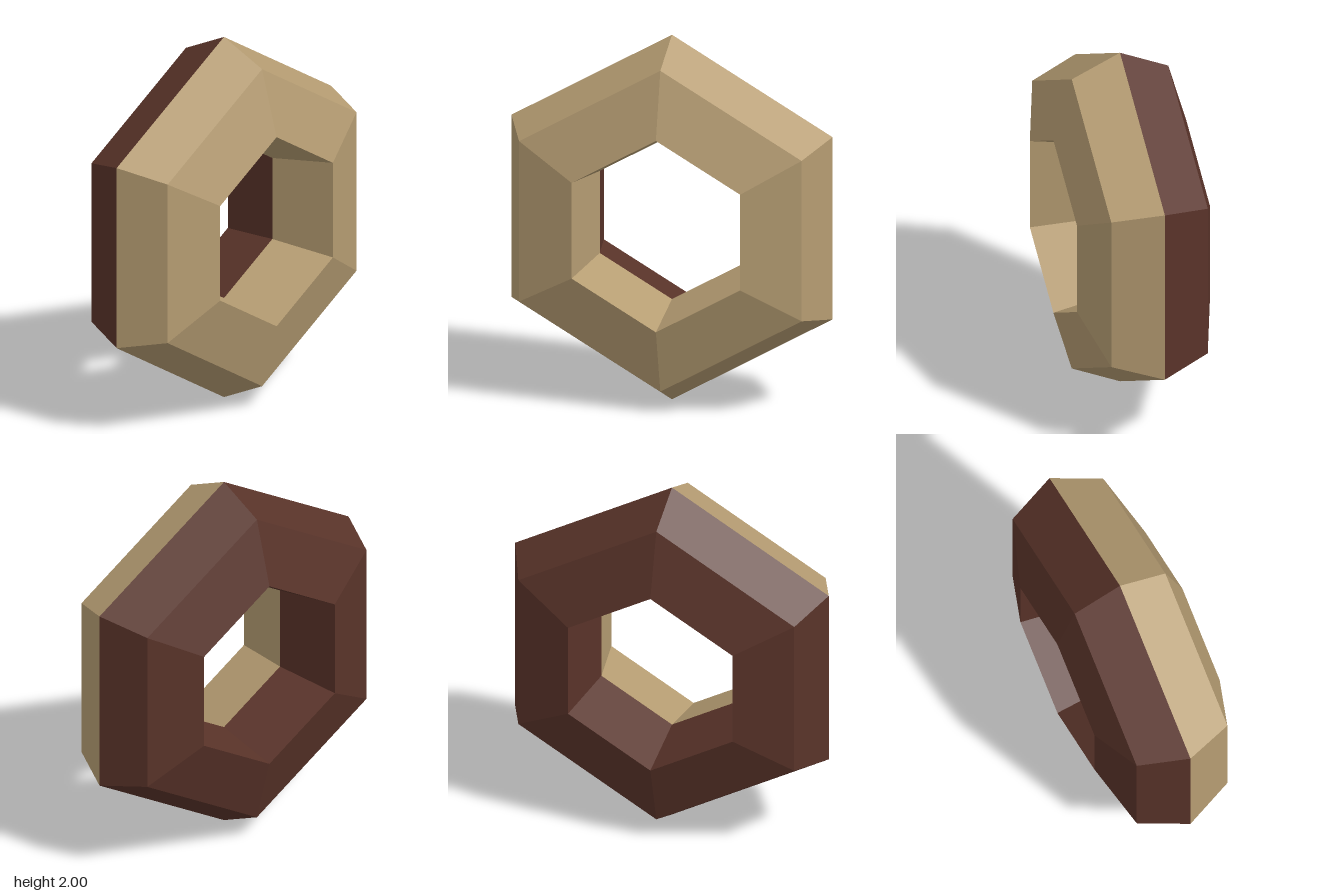
import * as THREE from 'three';

// Half of the ring's cross-section: [corner radius, depth from the middle plane]
const PROFILE = [[1, 0], [0.88, 0.263], [0.525, 0.363], [0.45, 0]];

// Sweep the half section round six sides; side is +1 for front, -1 for back
function halfRing(name, side, material) {
  const points = PROFILE.map(([r, d]) => new THREE.Vector2(r, d * side));
  if (side < 0) points.reverse();
  const geometry = new THREE.LatheGeometry(points, 6).toNonIndexed();
  geometry.rotateX(Math.PI / 2); // axis along z, corners at top and bottom
  geometry.computeVertexNormals(); // one normal per facet
  const mesh = new THREE.Mesh(geometry, material);
  mesh.name = name;
  mesh.position.y = 1;
  return mesh;
}

export function createModel() {
  const tan = new THREE.MeshStandardMaterial({ color: 0xb59c72, flatShading: true });
  tan.name = 'tan';
  const brown = new THREE.MeshStandardMaterial({ color: 0x593329, flatShading: true });
  brown.name = 'dark brown';

  const group = new THREE.Group();
  group.name = 'hexagonalRing';
  group.add(halfRing('frontHalf', 1, tan), halfRing('backHalf', -1, brown));
  return group;
}
